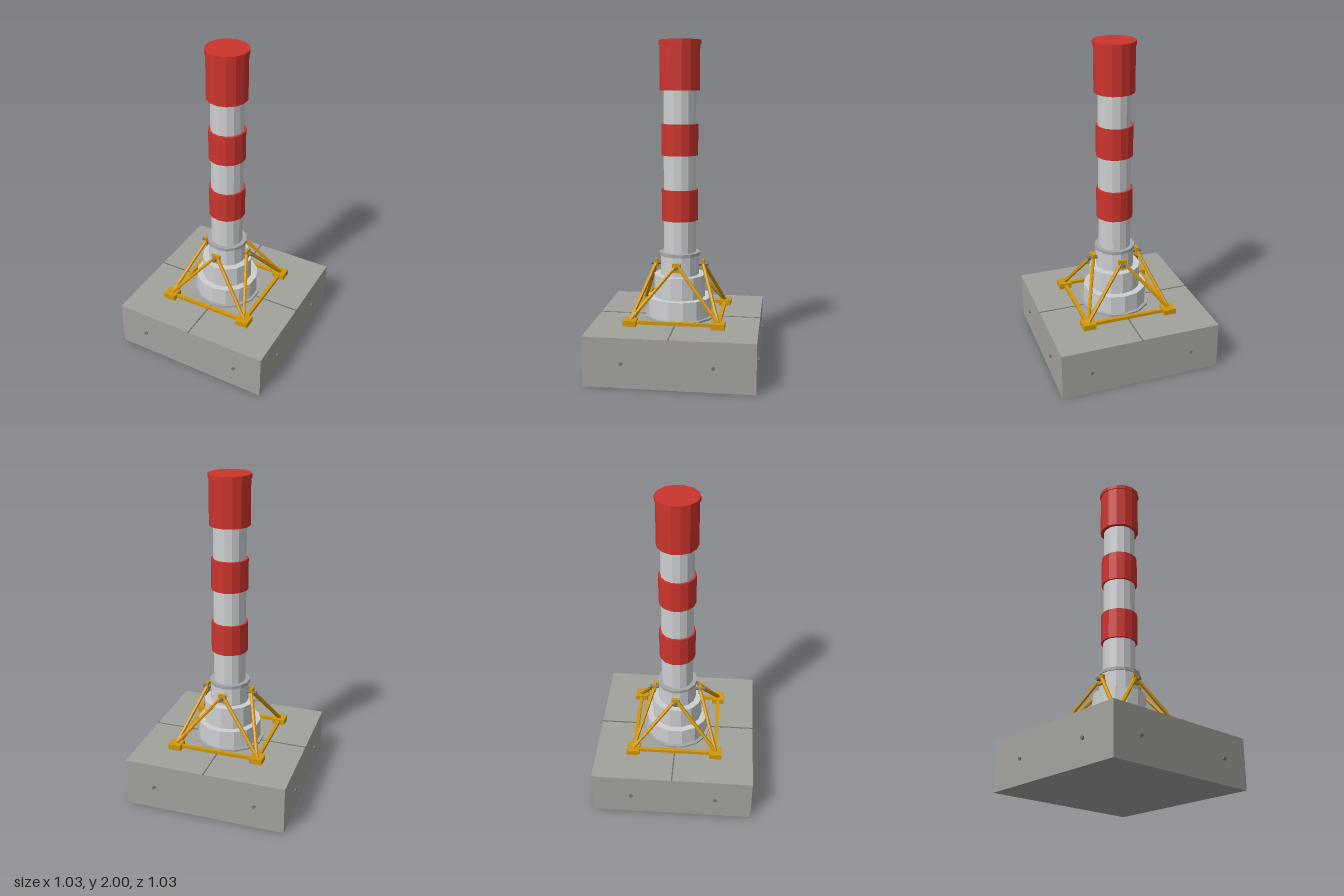
import * as THREE from 'three';

const mat = (name, color) => {
  const m = new THREE.MeshStandardMaterial({ color, flatShading: true });
  m.name = name;
  return m;
};

export function createModel() {
  const root = new THREE.Group();
  root.name = 'stripedTower';
  const concrete = mat('concrete', 0xa3a29d);
  const joint = mat('dark joint', 0x70706c);
  const steel = mat('pale steel', 0xcdcfd1);
  const ringGrey = mat('ring grey', 0xa6a8a8);
  const bolt = mat('bolt grey', 0x737578);
  const red = mat('red paint', 0xcc342d);
  const yellow = mat('yellow paint', 0xd0960c);

  const add = (name, geo, material, x = 0, y = 0, z = 0, parent = root) => {
    const m = new THREE.Mesh(geo, material);
    m.name = name;
    m.position.set(x, y, z);
    parent.add(m);
    return m;
  };
  const box = (name, w, h, d, material, x, y, z, parent) =>
    add(name, new THREE.BoxGeometry(w, h, d), material, x, y, z, parent);
  // Upright faceted cylinder between two heights
  const drum = (name, r, y0, y1, material) =>
    add(name, new THREE.CylinderGeometry(r, r, y1 - y0, 14), material, 0, (y0 + y1) / 2, 0);
  // Round bar between two points
  const bar = (name, a, b, r, sides, material, parent) => {
    const dir = b.clone().sub(a);
    const mid = a.clone().add(b).multiplyScalar(0.5);
    const m = add(name, new THREE.CylinderGeometry(r, r, dir.length(), sides), material, mid.x, mid.y, mid.z, parent);
    m.quaternion.setFromUnitVectors(new THREE.Vector3(0, 1, 0), dir.normalize());
    return m;
  };
  const v = (x, y, z) => new THREE.Vector3(x, y, z);

  // Foundation slab with crossing joints on its top
  box('foundation', 1.01, 0.3, 1.01, concrete, 0, 0.15, 0);
  box('jointAcross', 1.01, 0.004, 0.008, joint, 0, 0.3, 0);
  box('jointAlong', 0.008, 0.004, 1.01, joint, 0, 0.3, 0);

  // Anchor bolts on the slab sides
  for (const s of [-1, 1]) {
    for (const x of [-0.32, 0.32])
      bar('slabBolt', v(x, 0.147, s * 0.49), v(x, 0.147, s * 0.515), 0.011, 8, bolt);
    for (const z of [-0.26, 0.275])
      bar('slabBolt', v(s * 0.49, 0.147, z), v(s * 0.515, 0.147, z), 0.011, 8, bolt);
  }

  // Stepped pedestal
  drum('baseRing', 0.22, 0.3, 0.312, ringGrey);
  drum('lowerTier', 0.2, 0.305, 0.43, steel);
  drum('middleTier', 0.16, 0.43, 0.57, steel);
  drum('upperTier', 0.12, 0.57, 0.69, steel);
  drum('collar', 0.127, 0.69, 0.71, ringGrey);

  // Shaft, painted bands and cap
  drum('shaft', 0.1, 0.7, 1.72, steel);
  drum('lowerBand', 0.113, 0.91, 1.1, red);
  drum('upperBand', 0.113, 1.31, 1.5, red);
  drum('cap', 0.123, 1.7, 1.98, red);
  drum('capLip', 0.129, 1.975, 2, red);

  // Support frame: the same side repeated at quarter turns
  const C = 0.265;
  for (let i = 0; i < 4; i++) {
    const side = new THREE.Group();
    side.name = 'supportSide';
    side.rotation.y = (i * Math.PI) / 2;
    root.add(side);
    box('footPlate', 0.08, 0.035, 0.08, yellow, C, 0.3225, C, side);
    box('groundBeam', 2 * C - 0.07, 0.02, 0.022, yellow, 0, 0.322, C, side);
    box('bracket', 0.052, 0.056, 0.018, yellow, 0, 0.634, 0.147, side);
    bar('bracketBolt', v(0, 0.634, 0.1), v(0, 0.634, 0.179), 0.011, 8, bolt, side);
    for (const s of [-1, 1])
      bar('brace', v(s * C, 0.335, C), v(s * 0.012, 0.637, 0.147), 0.012, 6, yellow, side);
  }
  return root;
}
